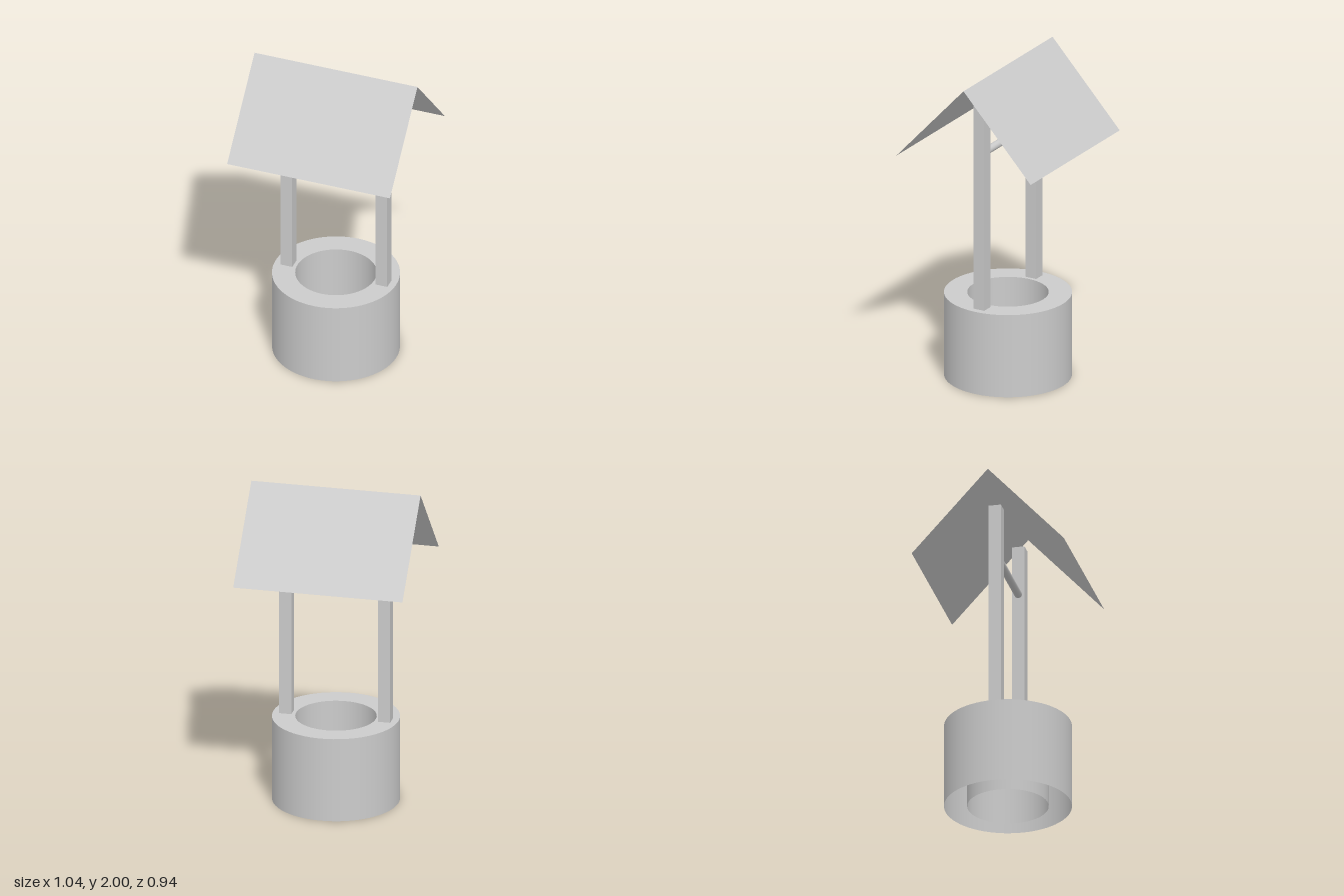
import * as THREE from 'three';

const grey = new THREE.MeshStandardMaterial({ color: 0xcccccc });
const greyThin = new THREE.MeshStandardMaterial({ color: 0xcccccc, side: THREE.DoubleSide });

const WALL = { outer: 0.385, inner: 0.245, height: 0.53 };
const POST = { x: 0.305, width: 0.076, top: 1.84 };
const ROOF = { width: 1.045, ridge: 2, eave: 1.49, depth: 0.47 };

function add(parent, name, geometry, material = grey) {
  const mesh = new THREE.Mesh(geometry, material);
  mesh.name = name;
  parent.add(mesh);
  return mesh;
}

export function createModel() {
  const well = new THREE.Group();
  well.name = 'well';

  // Hollow well wall: two open tubes joined by a flat rim, open underneath
  const wall = new THREE.Group();
  wall.name = 'wall';
  well.add(wall);
  for (const side of ['outer', 'inner']) {
    const r = WALL[side];
    const tube = new THREE.CylinderGeometry(r, r, WALL.height, 64, 1, true);
    add(wall, side + 'Wall', tube, greyThin).position.y = WALL.height / 2;
  }
  const rim = add(wall, 'rim', new THREE.RingGeometry(WALL.inner, WALL.outer, 64), greyThin);
  rim.rotation.x = -Math.PI / 2;
  rim.position.y = WALL.height;

  // Square posts standing on the rim
  const postHeight = POST.top - WALL.height;
  for (const side of [1, -1]) {
    const post = add(well, side > 0 ? 'leftPost' : 'rightPost',
      new THREE.BoxGeometry(POST.width, postHeight, POST.width));
    post.position.set(side * POST.x, WALL.height + postHeight / 2, 0);
  }

  // Round crossbar between the posts
  const bar = add(well, 'crossbar', new THREE.CylinderGeometry(0.024, 0.024, POST.x * 2, 24));
  bar.rotation.z = Math.PI / 2;
  bar.position.y = 1.525;

  // Two thin sloping roof panels meeting at the ridge
  const drop = ROOF.ridge - ROOF.eave;
  const slope = Math.hypot(drop, ROOF.depth);
  for (const side of [1, -1]) {
    const pivot = new THREE.Group();
    pivot.name = side > 0 ? 'frontRoof' : 'backRoof';
    pivot.rotation.y = side > 0 ? 0 : Math.PI;
    const panel = add(pivot, 'roofPanel', new THREE.PlaneGeometry(ROOF.width, slope), greyThin);
    panel.rotation.x = -Math.atan2(ROOF.depth, drop);
    panel.position.set(0, (ROOF.ridge + ROOF.eave) / 2, ROOF.depth / 2);
    well.add(pivot);
  }

  return well;
}
